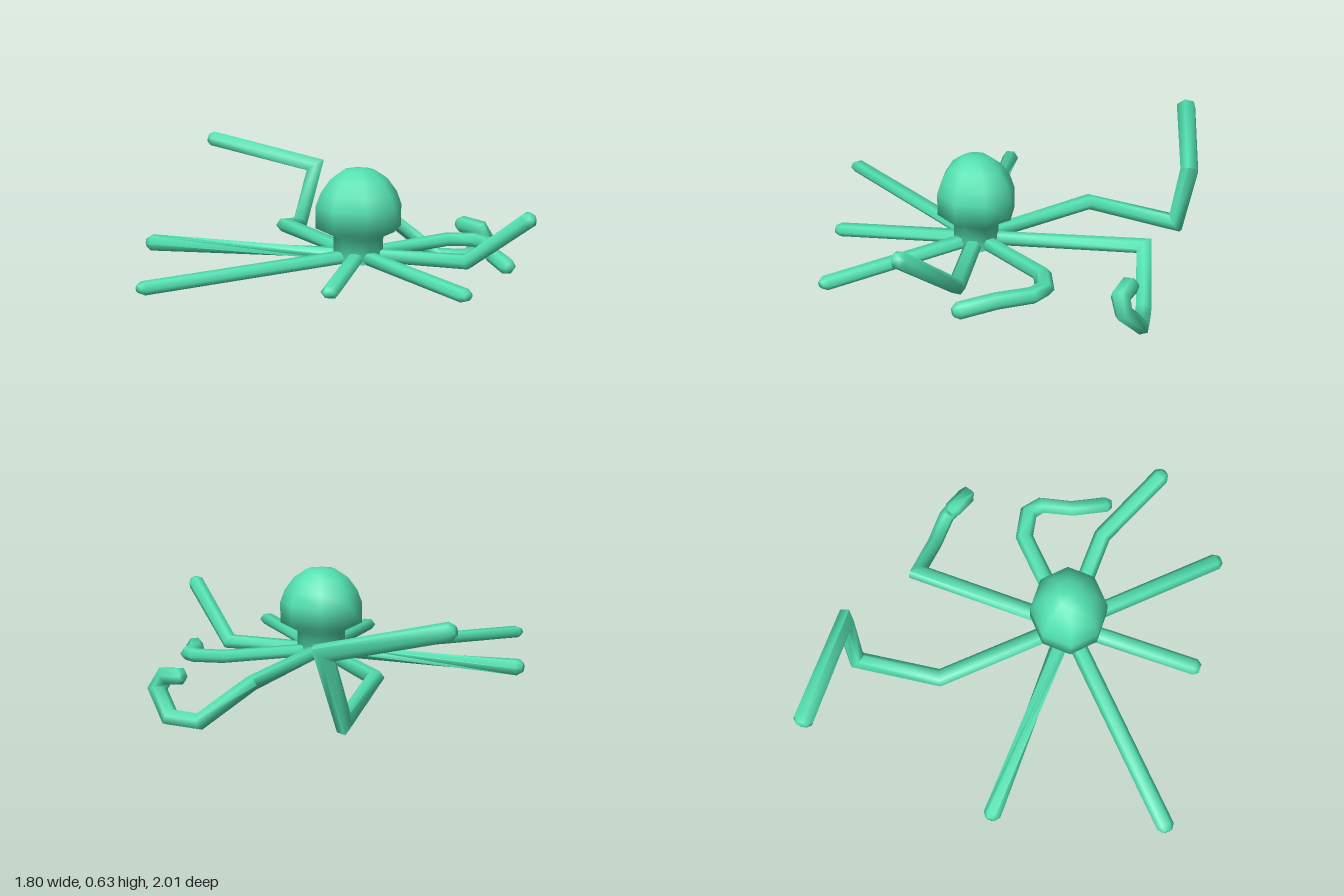
import * as THREE from 'three';
import { toCreasedNormals } from 'three/addons/utils/BufferGeometryUtils.js';

const SIDES = 6;
const CENTRE = new THREE.Vector3(0.11, 0.23, 0.25);
const HALF_WIDTH = 0.041, HALF_DEPTH = 0.03;

// Sweep a flat hexagon along mitred straight segments, with a bevelled tip
function armGeometry(points, endDepth = HALF_DEPTH, twist = 0) {
  const path = points.map((p) => new THREE.Vector3(...p));
  const first = path[0].clone().sub(CENTRE).setY(0).normalize();
  path.unshift(CENTRE.clone().addScaledVector(first, 0.08));
  const dirs = path.slice(1).map((p, i) => p.clone().sub(path[i]).normalize());
  const last = path.length - 1;
  path[last].addScaledVector(dirs[last - 1], -0.02);

  const side = new THREE.Vector3(0, 1, 0).cross(dirs[0]).normalize();
  const up = dirs[0].clone().cross(side);
  const pos = [], index = [];
  const addRing = (centre, dir, normal, scale, t) => {
    const depth = THREE.MathUtils.lerp(HALF_DEPTH, endDepth, t);
    for (let k = 0; k < SIDES; k++) {
      const a = (k / SIDES) * Math.PI * 2 + twist * t;
      const o = side.clone().multiplyScalar(Math.cos(a) * HALF_WIDTH * scale)
        .addScaledVector(up, Math.sin(a) * depth * scale);
      o.addScaledVector(dir, -o.dot(normal) / dir.dot(normal)).add(centre);
      pos.push(o.x, o.y, o.z);
    }
  };
  path.forEach((p, i) => {
    const before = dirs[Math.max(i - 1, 0)], after = dirs[Math.min(i, last - 1)];
    addRing(p, before, before.clone().add(after).normalize(), 1, i / last);
    const turn = new THREE.Quaternion().setFromUnitVectors(before, after);
    side.applyQuaternion(turn);
    up.applyQuaternion(turn);
  });
  const end = dirs[last - 1];
  addRing(path[last].clone().addScaledVector(end, 0.025), end, end, 0.55, 1);

  for (let r = 0; r <= last; r++) {
    for (let k = 0; k < SIDES; k++) {
      const a = r * SIDES + k, b = r * SIDES + (k + 1) % SIDES;
      index.push(a, b, b + SIDES, a, b + SIDES, a + SIDES);
    }
  }
  const tip = (last + 1) * SIDES;
  for (let k = 1; k < SIDES - 1; k++) {
    index.push(tip, tip + k, tip + k + 1, 0, k + 1, k);
  }
  const g = new THREE.BufferGeometry();
  g.setAttribute('position', new THREE.Float32BufferAttribute(pos, 3));
  g.setIndex(index);
  return toCreasedNormals(g, 1.5);
}

export function createModel() {
  const model = new THREE.Group();
  const skin = new THREE.MeshStandardMaterial({ color: 0x52e0b0, side: THREE.DoubleSide });
  const add = (name, geometry) => {
    const mesh = new THREE.Mesh(geometry, skin);
    mesh.name = name;
    model.add(mesh);
    return mesh;
  };

  // Eight-sided domed head on a short neck
  const profile = [[0, 0.205], [0.115, 0.205], [0.115, 0.32], [0.197, 0.36],
    [0.197, 0.46], [0.175, 0.52], [0.132, 0.58], [0.07, 0.622], [0, 0.631]]
    .map(([r, y]) => new THREE.Vector2(r, y));
  const head = add('head', toCreasedNormals(new THREE.LatheGeometry(profile, 8), 1.3));
  head.position.set(CENTRE.x, 0, CENTRE.z);
  head.scale.z = 0.91;

  // Straight arms
  add('rightFrontArm', armGeometry([[-0.9, 0.23, 0.66]]));
  add('frontRightArm', armGeometry([[-0.13, 0.23, 0.86]]));
  add('frontLeftArm', armGeometry([[0.42, 0.23, 1.0]]));

  // Straight arm twisted along its length
  add('rightBackArm', armGeometry([[-0.82, 0.23, -0.14]], 0.04, 1.05));

  // Arm bent upward at the end
  add('leftFrontArm', armGeometry([[0.57, 0.225, 0.44], [0.77, 0.485, 0.73]], 0.04));

  // Arm hooked forward
  add('leftBackArm', armGeometry([[0.57, 0.235, 0.06], [0.7, 0.235, 0.085],
    [0.74, 0.23, 0.15], [0.725, 0.215, 0.3], [0.75, 0.2, 0.49]], 0.037));

  // Arm curling down and back over itself
  add('backLeftArm', armGeometry([[0.4, 0.235, -0.46], [0.64, 0.04, -0.385],
    [0.78, 0.045, -0.325], [0.845, 0.15, -0.225], [0.81, 0.21, -0.22], [0.72, 0.225, -0.3]], 0.045));

  // Arm raised behind and folded sideways
  add('backRightArm', armGeometry([[-0.14, 0.235, -0.36], [-0.005, 0.14, -0.76],
    [0.08, 0.445, -0.785], [-0.45, 0.575, -0.955]], 0.05));

  return model;
}
